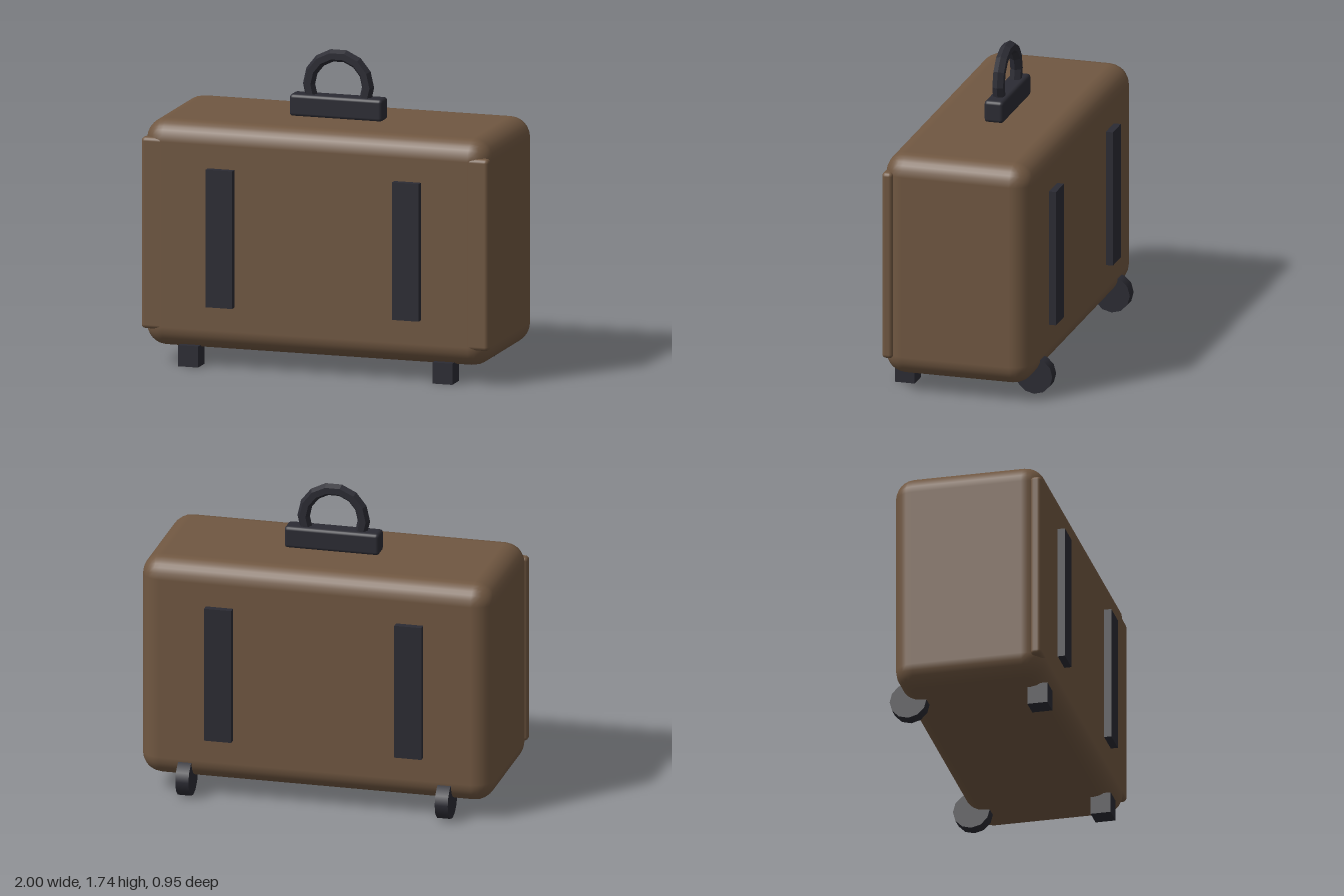
import * as THREE from 'three';
import { RoundedBoxGeometry } from 'three/addons/geometries/RoundedBoxGeometry.js';

export function createModel() {
  const model = new THREE.Group();
  model.name = 'suitcase';

  const leather = new THREE.MeshStandardMaterial({ color: 0x705741 });
  leather.name = 'brown leather';
  const trim = new THREE.MeshStandardMaterial({ color: 0x2b2b33 });
  trim.name = 'dark trim';

  function add(name, geometry, material, x, y, z) {
    const mesh = new THREE.Mesh(geometry, material);
    mesh.name = name;
    mesh.position.set(x, y, z);
    model.add(mesh);
    return mesh;
  }

  // Case with softly rounded edges, and the slightly wider lid rim at its front
  add('body', new RoundedBoxGeometry(1.99, 1.265, 0.842, 3, 0.115), leather, 0, 0.7325, 0.014);
  add('lidRim', new RoundedBoxGeometry(2, 1.07, 0.062, 2, 0.022), leather, 0, 0.735, 0.403);

  // Carrying handle: a faceted ring sunk into its mounting block
  add('handleBase', new RoundedBoxGeometry(0.535, 0.125, 0.11, 2, 0.02), trim, 0, 1.4225, 0.015);
  const ring = new THREE.TorusGeometry(0.17, 0.035, 6, 14).toNonIndexed();
  ring.computeVertexNormals();
  add('handleRing', ring, trim, 0, 1.54, 0.015);

  const strap = new THREE.BoxGeometry(0.153, 0.768, 0.06);
  const foot = new THREE.BoxGeometry(0.115, 0.118, 0.113);
  const wheel = new THREE.CylinderGeometry(0.104, 0.104, 0.074, 12).rotateZ(Math.PI / 2);

  // Straps, front feet and rear wheels, mirrored left and right
  for (const [side, s] of [['left', 1], ['right', -1]]) {
    add(side + 'FrontStrap', strap, trim, s * 0.537, 0.736, 0.445);
    add(side + 'BackStrap', strap, trim, s * 0.537, 0.736, -0.417);
    add(side + 'Foot', foot, trim, s * 0.732, 0.059, 0.363);
    add(side + 'Wheel', wheel, trim, s * 0.732, 0.104, -0.369);
  }

  return model;
}
